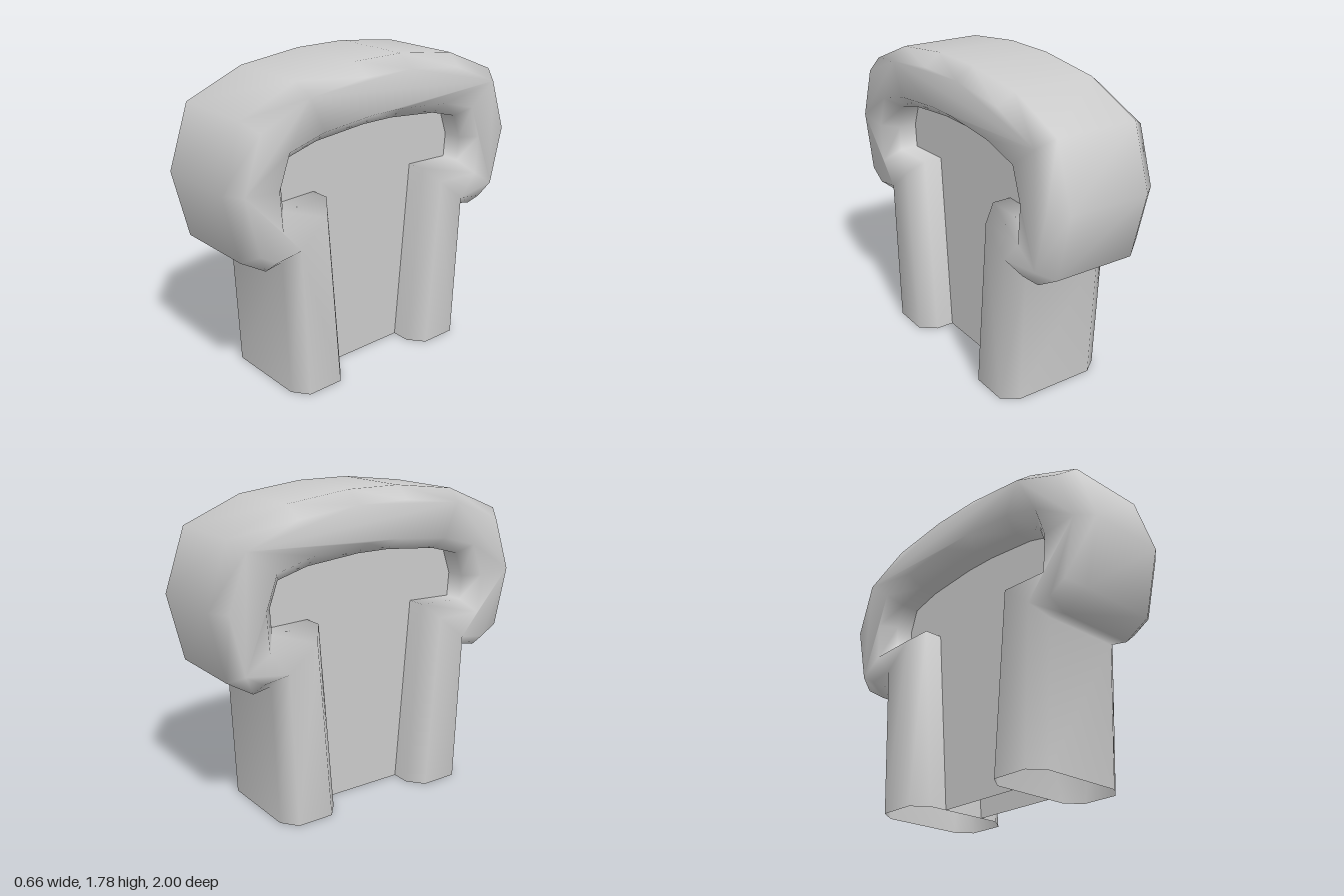
import * as THREE from 'three';
import { mergeVertices } from 'three/addons/utils/BufferGeometryUtils.js';

// Half profiles (z, y), listed from the foot up to the crown
const OUTER = [[0.62, -0.2], [0.655, 0.8], [0.76, 0.78], [0.91, 0.87], [1, 1.25], [0.88, 1.6], [0.54, 1.74], [0.16, 1.785]];
const INNER = [[0.265, -0.2], [0.355, 1.09], [0.64, 1.08], [0.65, 1.22], [0.6, 1.36], [0.42, 1.41], [0.1, 1.44]];

const mirrored = (half) => [...half, ...half.map(([z, y]) => [-z, y]).reverse()];
const toShape = (points) => new THREE.Shape(points.map(([z, y]) => new THREE.Vector2(z, y)));

// Cut flat at the ground and leave the underside open
function openBottom(geometry) {
  const flat = geometry.index ? geometry.toNonIndexed() : geometry;
  const p = flat.attributes.position;
  const kept = [];
  for (let i = 0; i < p.count; i += 3) {
    const ys = [0, 1, 2].map((k) => Math.max(0, p.getY(i + k)));
    if (Math.max(...ys) < 1e-4) continue;
    for (let k = 0; k < 3; k++) kept.push(p.getX(i + k), ys[k], p.getZ(i + k));
  }
  const result = new THREE.BufferGeometry();
  result.setAttribute('position', new THREE.Float32BufferAttribute(kept, 3));
  const welded = mergeVertices(result, 1e-4);
  welded.computeVertexNormals();
  return welded;
}

export function createModel() {
  const group = new THREE.Group();
  group.name = 'archedDoorway';
  const material = new THREE.MeshStandardMaterial({ color: 0xcccccc, side: THREE.DoubleSide });

  // Pillars and overhanging arch as one chamfered frame
  const frame = new THREE.ExtrudeGeometry(toShape([...mirrored(OUTER), ...mirrored(INNER).reverse()]), {
    depth: 0.48,
    bevelEnabled: true,
    bevelThickness: 0.09,
    bevelSize: 0.07,
    bevelOffset: -0.07,
    bevelSegments: 1,
  });
  frame.translate(0, 0, -0.24).rotateY(Math.PI / 2);
  const frameMesh = new THREE.Mesh(openBottom(frame), material);
  frameMesh.name = 'archFrame';
  group.add(frameMesh);

  // Recessed panel on each side of the opening
  for (const side of [1, -1]) {
    const panel = new THREE.ShapeGeometry(toShape(mirrored(INNER)));
    panel.rotateY(side * Math.PI / 2).translate(side * 0.13, 0, 0);
    const mesh = new THREE.Mesh(openBottom(panel), material);
    mesh.name = side > 0 ? 'leftPanel' : 'rightPanel';
    group.add(mesh);
  }
  return group;
}
